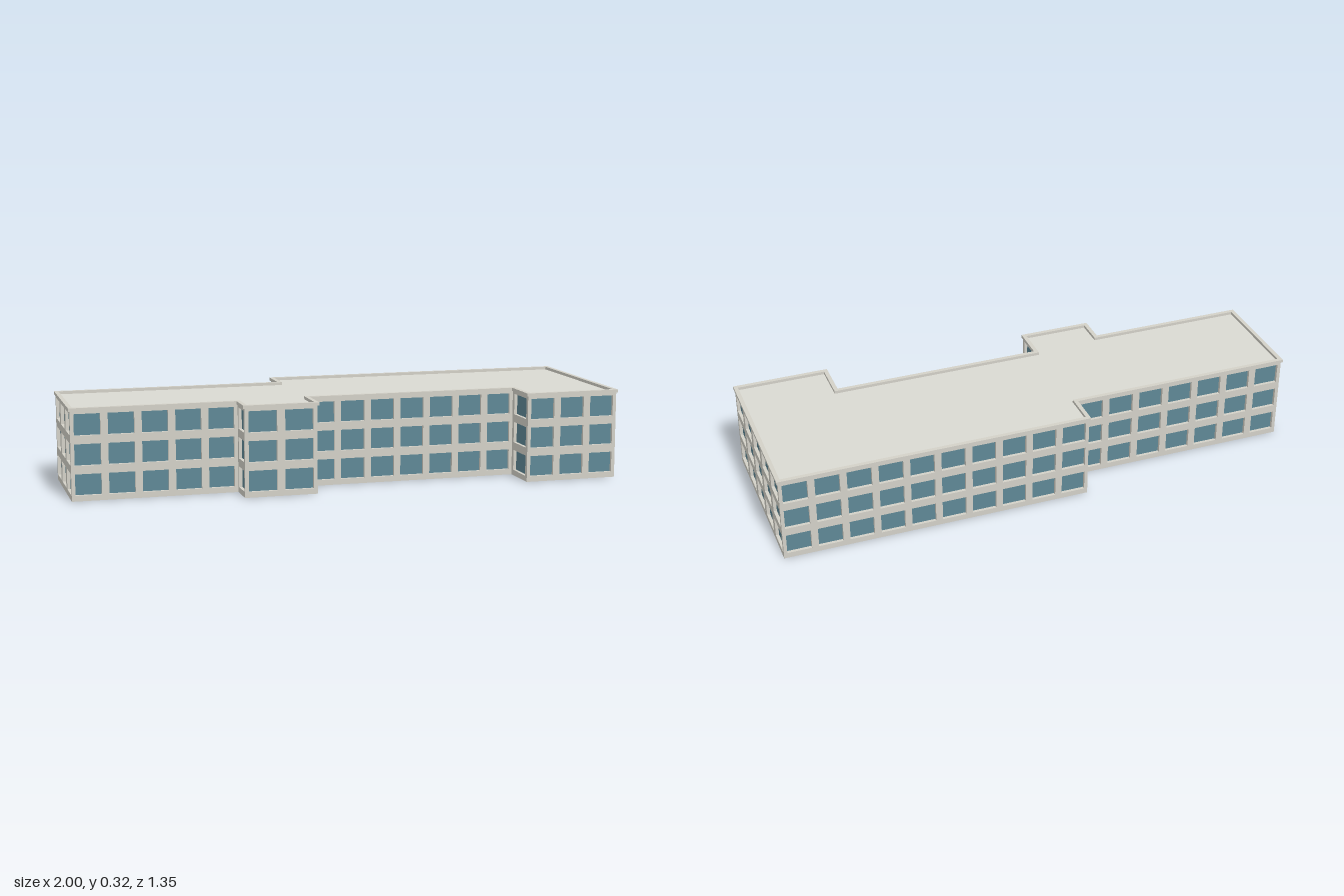
import * as THREE from 'three';

const wallMat = new THREE.MeshStandardMaterial({ name: 'pale stone wall', color: 0xd3d1c8 });
const roofMat = new THREE.MeshStandardMaterial({ name: 'light grey roof', color: 0xdadad2, side: THREE.DoubleSide });
const glassMat = new THREE.MeshStandardMaterial({ name: 'blue glass', color: 0x5f8896, side: THREE.DoubleSide });

const WALL_TOP = 0.312, TOP = 0.323, REVEAL = 0.012, MODULE = 0.108, MARGIN = 0.11;
const floors = [[0.02, 0.094], [0.123, 0.198], [0.227, 0.302]];

// Eaves outline in the building's own axes (x, -z), counterclockwise from the back left corner
const outline = [
  [-1.03, 0.169], [-1.03, -0.243], [-0.449, -0.243], [-0.449, -0.347],
  [-0.18, -0.347], [-0.18, -0.216], [0.586, -0.216], [0.586, -0.363],
  [0.939, -0.363], [0.939, 0.29], [-0.202, 0.29], [-0.202, 0.169],
].map(([x, y]) => new THREE.Vector2(x, y));

// Moves every side of a right-angled outline outward by d (inward when negative)
function offset(points, d) {
  const n = points.length;
  const normal = (a, b) => {
    const e = b.clone().sub(a).normalize();
    return new THREE.Vector2(e.y, -e.x);
  };
  return points.map((p, i) => p.clone()
    .addScaledVector(normal(points[(i + n - 1) % n], p), d)
    .addScaledVector(normal(p, points[(i + 1) % n]), d));
}

function rectPath(x0, y0, x1, y1) {
  return [[x0, y0], [x1, y0], [x1, y1], [x0, y1]].map(([x, y]) => new THREE.Vector2(x, y));
}

// One facade from a to b: a wall slab with a grid of openings and a pane set back in each
function facade(a, b) {
  const group = new THREE.Group();
  group.name = 'facade';
  const length = a.distanceTo(b);
  const count = Math.max(1, Math.floor(length / MODULE));
  const pitch = length / count;
  const wallShape = new THREE.Shape(rectPath(0, 0, length, WALL_TOP));
  const panes = [];
  for (const [y0, y1] of floors) {
    for (let i = 0; i < count; i++) {
      const opening = rectPath((i + MARGIN) * pitch, y0, (i + 1 - MARGIN) * pitch, y1);
      panes.push(new THREE.Shape(opening));
      wallShape.holes.push(new THREE.Path([...opening].reverse()));
    }
  }
  const wall = new THREE.Mesh(
    new THREE.ExtrudeGeometry(wallShape, { depth: REVEAL, bevelEnabled: false }), wallMat);
  wall.position.z = -REVEAL;
  wall.name = 'wall';
  const windows = new THREE.Mesh(new THREE.ShapeGeometry(panes), glassMat);
  windows.position.z = -REVEAL + 0.0005;
  windows.name = 'windows';
  group.add(wall, windows);
  group.position.set(a.x, 0, -a.y);
  group.rotation.y = Math.atan2(b.y - a.y, b.x - a.x);
  return group;
}

export function createModel() {
  const model = new THREE.Group();
  model.name = 'officeBuilding';
  const building = new THREE.Group();
  building.name = 'building';
  building.rotation.y = THREE.MathUtils.degToRad(26.2);
  model.add(building);

  // Outer walls, open underneath
  const walls = offset(outline, -0.005);
  walls.forEach((p, i) => building.add(facade(p, walls[(i + 1) % walls.length])));

  // Flat roof
  const roof = new THREE.Mesh(new THREE.ShapeGeometry(new THREE.Shape(walls)), roofMat);
  roof.rotation.x = -Math.PI / 2;
  roof.position.y = WALL_TOP + 0.0005;
  roof.name = 'roof';
  building.add(roof);

  // Parapet ring around the roof
  const ring = new THREE.Shape(outline);
  ring.holes.push(new THREE.Path(offset(outline, -0.015).reverse()));
  const parapet = new THREE.Mesh(
    new THREE.ExtrudeGeometry(ring, { depth: TOP - WALL_TOP, bevelEnabled: false }), wallMat);
  parapet.rotation.x = -Math.PI / 2;
  parapet.position.y = WALL_TOP;
  parapet.name = 'parapet';
  building.add(parapet);

  return model;
}
